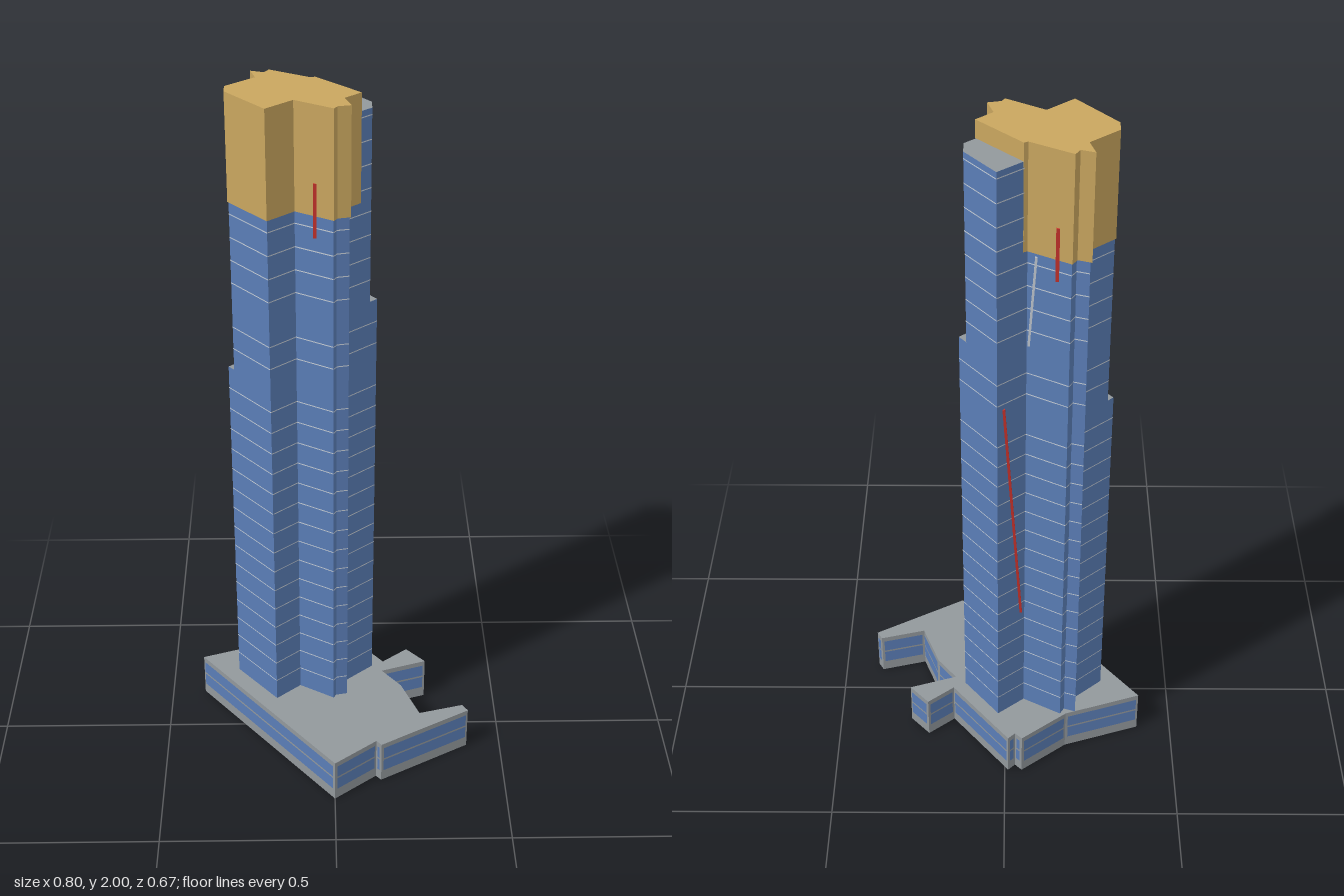
import * as THREE from 'three';
import { mergeGeometries } from 'three/addons/utils/BufferGeometryUtils.js';

// Outlines are [x, z], clockwise seen from above.
const podiumOutline = [
  [-0.40, -0.16], [-0.18, -0.235], [-0.05, -0.335], [-0.03, -0.315], [-0.01, -0.335],
  [0.155, -0.13], [0.23, -0.19], [0.285, -0.13], [0.15, -0.085], [0.205, -0.015],
  [0.255, 0.115], [0.385, 0.08], [0.40, 0.105], [0.137, 0.255], [0.122, 0.238], [0, 0.333],
];
const backFins = [[-0.195, -0.18], [-0.208, -0.226], [-0.175, -0.215], [-0.163, -0.235], [-0.055, -0.175]];
const frontFins = [[0.025, -0.03], [0.041, 0.02], [0.008, 0.027], [0, 0.04], [-0.1, -0.02], [-0.17, 0.04]];
const leftFull = [[-0.288, -0.10]], leftCut = [[-0.272, -0.081], [-0.272, -0.116]];
const rightFull = [[0.02, -0.235], [0.12, -0.11]];
const rightCut = [[0.02, -0.235], [0.10, -0.135], [0.10, -0.093]];
const crownEdge = [[-0.045, -0.18], [0.068, -0.067]];

// Moves every edge of an outline outward by d.
function outset(points, d) {
  const n = points.length;
  const normal = (a, b) => new THREE.Vector2(b[1] - a[1], a[0] - b[0]).normalize();
  return points.map((p, i) => {
    const n1 = normal(points[(i + n - 1) % n], p);
    const n2 = normal(p, points[(i + 1) % n]);
    const k = d / Math.max(0.3, 1 + n1.dot(n2));
    return [p[0] + (n1.x + n2.x) * k, p[1] + (n1.y + n2.y) * k];
  });
}

function toShape(points) {
  return new THREE.Shape(points.map(([x, z]) => new THREE.Vector2(x, -z)));
}

function prism(points, y0, y1) {
  return new THREE.ExtrudeGeometry(toShape(points), { depth: y1 - y0, bevelEnabled: false })
    .rotateX(-Math.PI / 2).translate(0, y0, 0);
}

// One upright panel on each edge of an outline, facing outward.
function wallPanels(points, y0, y1, margin = 0, gap = 0) {
  const panels = [];
  points.forEach((a, i) => {
    const b = points[(i + 1) % points.length];
    const dx = b[0] - a[0], dz = b[1] - a[1];
    const length = Math.hypot(dx, dz);
    if (length <= margin * 2.5) return;
    panels.push(new THREE.PlaneGeometry(length - 2 * margin, y1 - y0)
      .translate(0, 0, gap)
      .rotateY(Math.atan2(dz, -dx))
      .translate((a[0] + b[0]) / 2, (y0 + y1) / 2, (a[1] + b[1]) / 2));
  });
  return mergeGeometries(panels);
}

export function createModel() {
  const model = new THREE.Group();
  model.name = 'skyscraper';

  const material = (name, color, side = THREE.FrontSide) => {
    const m = new THREE.MeshStandardMaterial({ color, side });
    m.name = name;
    return m;
  };
  const glass = material('blueGlass', 0x5a7db6);
  const concrete = material('greyConcrete', 0x92989c, THREE.DoubleSide);
  const gold = material('goldCladding', 0xc9a65f);
  const pale = material('paleTrim', 0xc6ced8);
  const red = material('redAccent', 0xc8322c);

  const add = (name, geometry, mat) => {
    const mesh = new THREE.Mesh(geometry, mat);
    mesh.name = name;
    model.add(mesh);
    return mesh;
  };

  // Podium: open underneath, flat roof, two window rows
  add('podiumWalls', wallPanels(podiumOutline, 0, 0.135), concrete);
  add('podiumRoof', new THREE.ShapeGeometry(toShape(podiumOutline))
    .rotateX(-Math.PI / 2).translate(0, 0.135, 0), concrete);
  for (const [y0, y1] of [[0.035, 0.075], [0.081, 0.12]]) {
    add('podiumWindows', wallPanels(podiumOutline, y0, y1, 0.007, 0.0015), glass);
  }

  // Tower: three tiers, each losing a corner
  const tiers = [
    { y0: 0.135, y1: 1.2, outline: [...leftFull, ...backFins, ...rightFull, ...frontFins] },
    { y0: 1.2, y1: 1.4, outline: [...leftCut, ...backFins, ...rightFull, ...frontFins] },
    { y0: 1.4, y1: 1.95, outline: [...leftCut, ...backFins, ...rightCut, ...frontFins] },
  ];
  for (const { y0, y1, outline } of tiers) {
    add('towerTier', prism(outline, y0, y1), [concrete, glass]);
    // Floor lines
    const lines = [];
    for (let floor = 1; floor < 28; floor++) {
      const y = 0.135 + floor * 0.0665;
      if (y > y0 && y < y1 - 0.01) lines.push(wallPanels(outline, y, y + 0.003, 0, 0.0008));
    }
    add('floorLines', mergeGeometries(lines), pale);
  }

  // Crown
  const crownOutline = [...leftCut, ...backFins, ...crownEdge, ...frontFins];
  add('crown', prism(outset(crownOutline, 0.003), 1.7, 2), gold);

  // Accent strips between two points on the facade
  const strip = (name, from, to, width, mat) => {
    const a = new THREE.Vector3(...from), b = new THREE.Vector3(...to);
    const mesh = add(name, new THREE.BoxGeometry(width, a.distanceTo(b), width), mat);
    mesh.position.copy(a).add(b).multiplyScalar(0.5);
    mesh.quaternion.setFromUnitVectors(new THREE.Vector3(0, 1, 0), b.sub(a).normalize());
  };
  strip('frontAccent', [-0.048, 1.64, 0.014], [-0.048, 1.79, 0.014], 0.009, red);
  strip('backAccent', [-0.128, 1.64, -0.219], [-0.128, 1.79, -0.219], 0.009, red);
  strip('slantedAccent', [-0.045, 0.5, -0.184], [0.003, 1.25, -0.222], 0.007, red);
  strip('slantedTrim', [-0.06, 1.42, -0.178], [-0.077, 1.69, -0.188], 0.006, pale);

  return model;
}
